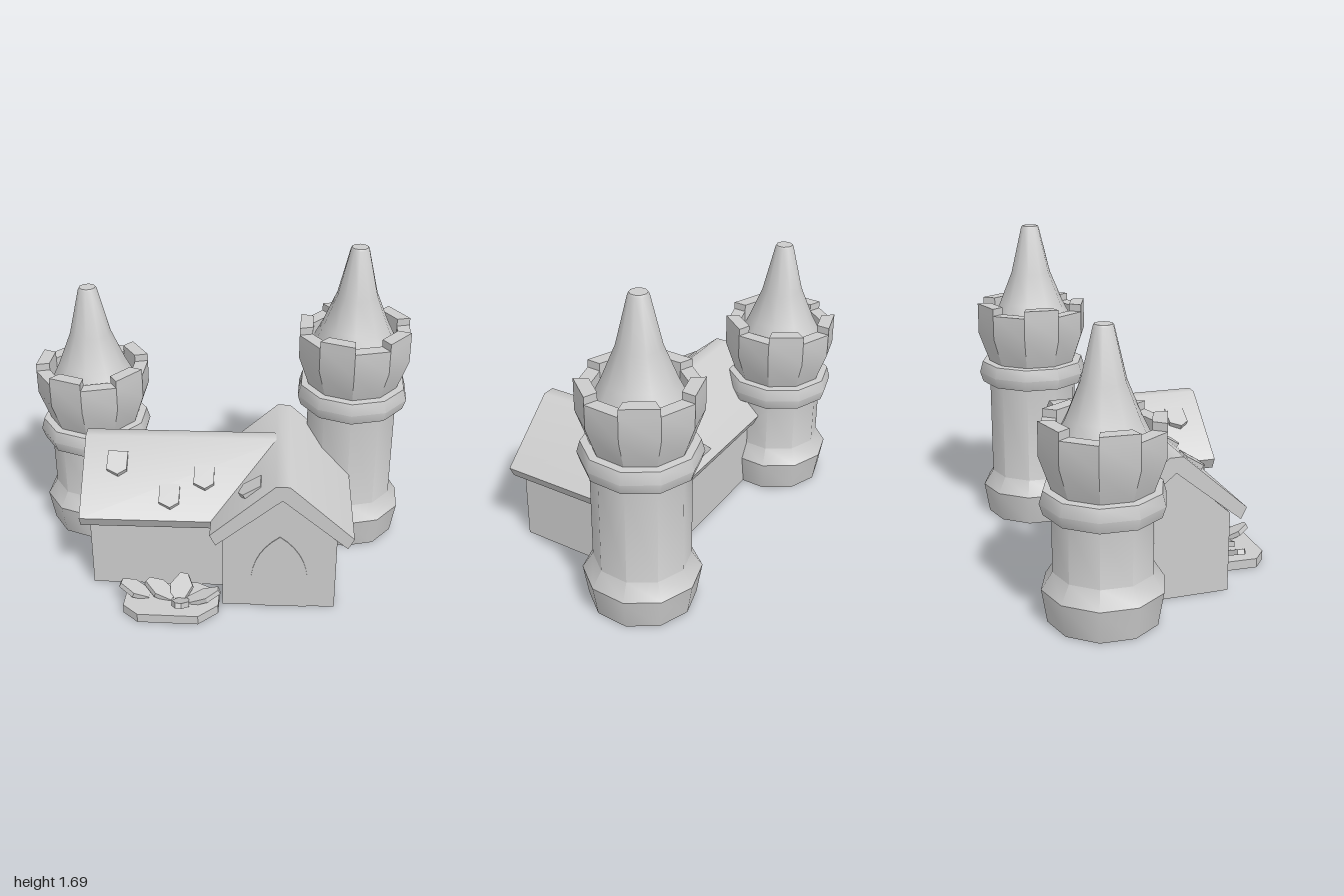
import * as THREE from 'three';
import { toCreasedNormals } from 'three/addons/utils/BufferGeometryUtils.js';

const stone = new THREE.MeshStandardMaterial({ color: 0xcccccc, side: THREE.DoubleSide });
stone.name = 'paleStone';

function add(parent, name, geometry) {
  const mesh = new THREE.Mesh(geometry, stone);
  mesh.name = name;
  parent.add(mesh);
  return mesh;
}

const vectors = (pts) => pts.map(([x, y]) => new THREE.Vector2(x, y));

function extrude(pts, depth) {
  return new THREE.ExtrudeGeometry(new THREE.Shape(vectors(pts)), { depth, bevelEnabled: false });
}

// Ten-sided turned part with a corner on the x axis
function turned(pts, crease) {
  return toCreasedNormals(new THREE.LatheGeometry(vectors(pts), 10, Math.PI / 2), crease);
}

// Tower: flared foot, shaft, collar, battlements and a concave spire
function makeTower(name, x, z, drop) {
  const tower = new THREE.Group();
  tower.name = name;
  tower.position.set(x, 0, z);
  const h = (y) => y - drop;

  add(tower, 'shaft', turned([
    [0.277, 0], [0.305, 0.17], [0.25, 0.255], [0.25, h(0.8)],
  ], 0.7));
  add(tower, 'collar', turned([
    [0.25, h(0.8)], [0.29, h(0.803)], [0.308, h(0.86)], [0.29, h(0.922)], [0.25, h(0.925)],
  ], 0.7));
  add(tower, 'parapet', turned([
    [0.25, h(0.925)], [0.308, h(1.09)], [0.308, h(1.22)], [0.235, h(1.22)], [0.235, h(1.15)],
  ], 0.5));
  add(tower, 'spire', turned([
    [0.235, h(1.15)], [0.18, h(1.26)], [0.11, h(1.43)], [0.05, h(1.68)], [0.044, h(1.69)], [0, h(1.69)],
  ], 0.7));

  // Battlements on every second side
  for (let k = 1; k < 10; k += 2) {
    const a = -k * Math.PI / 5, b = a - Math.PI / 5;
    const at = (r, t) => [r * Math.cos(t), r * Math.sin(t)];
    const block = extrude([at(0.308, a), at(0.308, b), at(0.235, b), at(0.235, a)], 0.04);
    block.rotateX(-Math.PI / 2);
    add(tower, 'battlement', block).position.y = h(1.22);
  }
  return tower;
}

// Gabled section: walls and an overhanging bent roof slab, running along z
const wallSection = (w) => [[-w, 0], [w, 0], [w, 0.42], [0, 0.69], [-w, 0.42]];
const roofSection = (w) => [
  [-w, 0.46], [-w + 0.03, 0.4], [0, 0.68], [w - 0.03, 0.4], [w, 0.46],
  [0.035, 0.76], [-0.035, 0.76],
];

// Loose pentagonal roof tile, its pointed end hanging down the slope
function makeTile() {
  const tile = extrude([[-0.05, 0.07], [0.055, 0.07], [0.055, -0.035], [0.01, -0.065], [-0.05, -0.035]], 0.03);
  tile.rotateX(-Math.PI / 2 + 0.56);
  return tile;
}

// Pointed slab from a low inner end to a raised outer end
function makeSlab(parent, from, to, width) {
  const a = new THREE.Vector3(...from), b = new THREE.Vector3(...to);
  const along = b.clone().sub(a);
  const length = along.length();
  along.normalize();
  const side = new THREE.Vector3(0, 1, 0).cross(along).normalize();
  const up = along.clone().cross(side);
  const slab = extrude([
    [0, -width * 0.3], [length * 0.6, -width * 0.5], [length, -width * 0.15],
    [length, width * 0.2], [length * 0.5, width * 0.5], [0, width * 0.3],
  ], 0.028);
  slab.applyMatrix4(new THREE.Matrix4().makeBasis(along, side, up).setPosition(a));
  add(parent, 'rubbleSlab', slab);
}

export function createModel() {
  const model = new THREE.Group();
  model.name = 'castleHouse';

  model.add(makeTower('leftTower', 0.688, -0.072, 0));
  model.add(makeTower('rightTower', -0.692, -0.458, 0.255));

  // House, turned a little from the towers
  const house = new THREE.Group();
  house.name = 'house';
  house.rotation.y = -Math.PI / 12;
  model.add(house);

  // Long hall
  const hallWalls = extrude(wallSection(0.305), 0.72);
  hallWalls.rotateY(Math.PI / 2);
  add(house, 'hallWalls', hallWalls).position.set(-0.729, 0, 0.105);
  const hallRoof = toCreasedNormals(extrude(roofSection(0.375), 1.042), 0.8);
  hallRoof.rotateY(Math.PI / 2);
  add(house, 'hallRoof', hallRoof).position.set(-0.772, -0.002, 0.105);

  // Gabled wing with the door
  add(house, 'wingWalls', extrude(wallSection(0.292), 0.766)).position.set(0.265, 0, -0.2);
  const wingRoof = toCreasedNormals(extrude(roofSection(0.365), 0.837), 0.8);
  add(house, 'wingRoof', wingRoof).position.set(0.275, 0, -0.237);

  // Pointed arch door
  const arch = new THREE.Shape();
  arch.moveTo(-0.145, 0);
  arch.lineTo(0.145, 0);
  arch.lineTo(0.145, 0.19);
  arch.quadraticCurveTo(0.13, 0.35, 0, 0.44);
  arch.quadraticCurveTo(-0.13, 0.35, -0.145, 0.19);
  const door = new THREE.ExtrudeGeometry(arch, { depth: 0.005, bevelEnabled: false, curveSegments: 6 });
  add(house, 'door', door).position.set(0.267, 0, 0.566);

  // Loose tiles on the hall roof and one on the wing
  for (const [x, y, z] of [[-0.595, 0.645, 0.253], [-0.313, 0.53, 0.379], [-0.137, 0.6, 0.3]]) {
    add(house, 'roofTile', makeTile()).position.set(x, y, z);
  }
  const wingTile = add(house, 'roofTile', makeTile());
  wingTile.position.set(0.119, 0.635, 0.444);
  wingTile.rotation.y = -Math.PI / 2;

  // Rubble heap on a low slab
  const rubble = new THREE.Group();
  rubble.name = 'rubbleHeap';
  model.add(rubble);
  const base = extrude([
    [-0.69, -0.5], [-0.63, -0.59], [-0.33, -0.675], [-0.21, -0.61],
    [-0.18, -0.5], [-0.28, -0.4], [-0.64, -0.34],
  ], 0.05);
  base.rotateX(-Math.PI / 2);
  add(rubble, 'rubbleBase', base);
  makeSlab(rubble, [-0.55, 0.03, 0.44], [-0.69, 0.1, 0.39], 0.11);
  makeSlab(rubble, [-0.43, 0.03, 0.49], [-0.55, 0.09, 0.39], 0.11);
  makeSlab(rubble, [-0.4, 0.03, 0.5], [-0.34, 0.11, 0.4], 0.12);
  makeSlab(rubble, [-0.38, 0.03, 0.53], [-0.43, 0.1, 0.65], 0.09);
  makeSlab(rubble, [-0.35, 0.03, 0.54], [-0.19, 0.1, 0.57], 0.09);

  return model;
}
